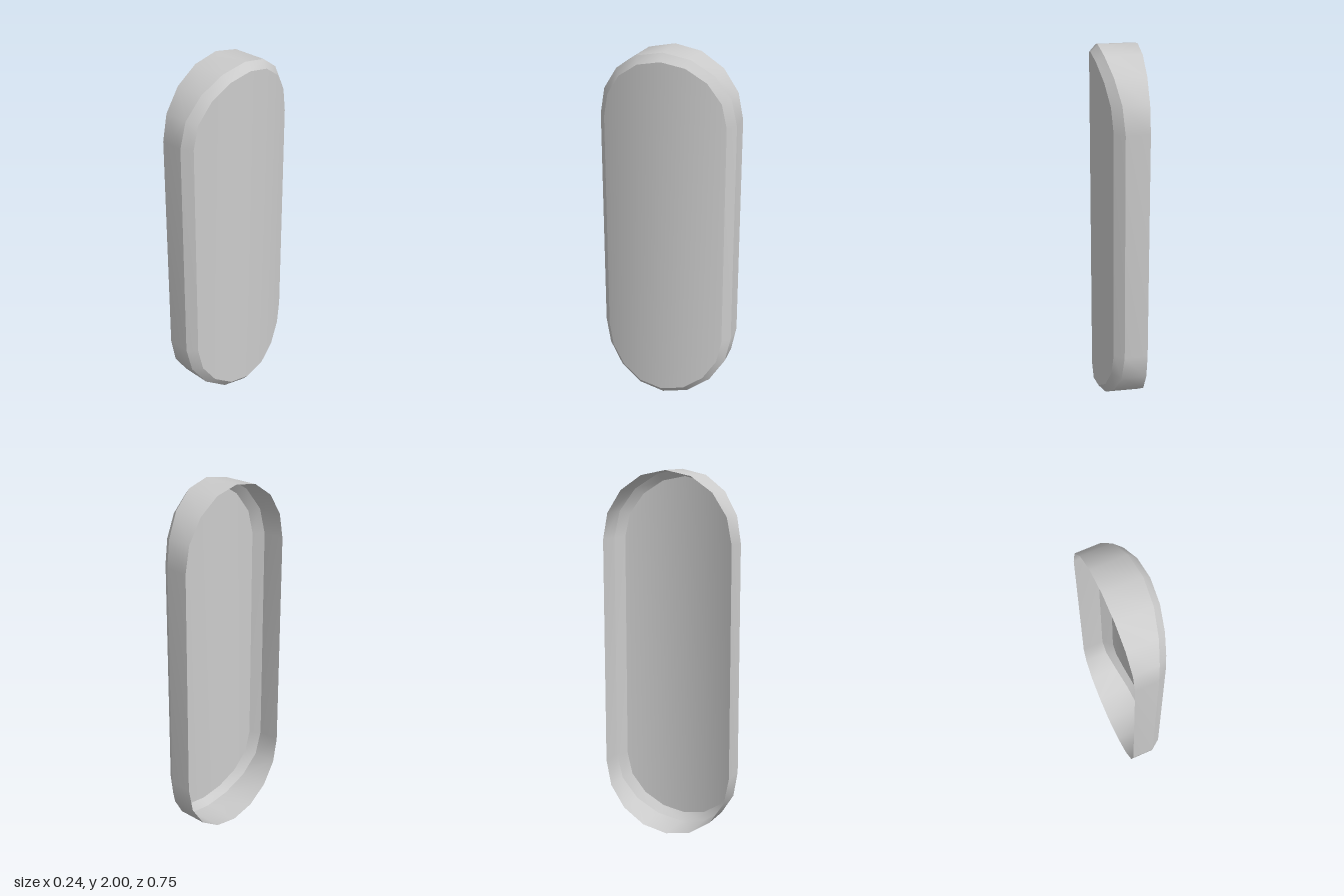
import * as THREE from 'three';

const STEPS = 8; // segments per rounded end
const material = new THREE.MeshStandardMaterial({ color: 0xcccccc, side: THREE.DoubleSide });

// Stadium outline in the y-z plane; depth(z) gives x
function outline(radius, depth) {
  const points = [];
  for (const [centreY, start] of [[1.625, 0], [0.375, Math.PI]]) {
    for (let i = 0; i <= STEPS; i++) {
      const a = start + (i / STEPS) * Math.PI;
      const z = radius * Math.cos(a);
      points.push(new THREE.Vector3(depth(z), centreY + radius * Math.sin(a), z));
    }
  }
  return points;
}

// Smooth strip of quads between two rows of points
function loft(name, a, b, closed) {
  const n = a.length;
  const index = [];
  for (let i = 0; i < (closed ? n : n - 1); i++) {
    const j = (i + 1) % n;
    index.push(i, n + i, j, j, n + i, n + j);
  }
  const geometry = new THREE.BufferGeometry().setFromPoints([...a, ...b]);
  geometry.setIndex(index);
  geometry.computeVertexNormals();
  const mesh = new THREE.Mesh(geometry, material);
  mesh.name = name;
  return mesh;
}

export function createModel() {
  const group = new THREE.Group();
  group.name = 'curvedCover';

  const back = outline(0.375, () => -0.121);
  const rim = outline(0.375, z => 0.085 - 0.57 * z * z);
  const faceEdge = outline(0.335, z => 0.121 - 0.56 * z * z);

  // Side wall, open at the back, and the bevel leading to the face
  group.add(loft('sideWall', back, rim, true));
  group.add(loft('bevel', rim, faceEdge, true));

  // Bowed face: vertical strips joining the top arc to the bottom arc
  const top = faceEdge.slice(0, STEPS + 1);
  const bottom = faceEdge.slice(STEPS + 1).reverse();
  group.add(loft('face', top, bottom, false));

  return group;
}
